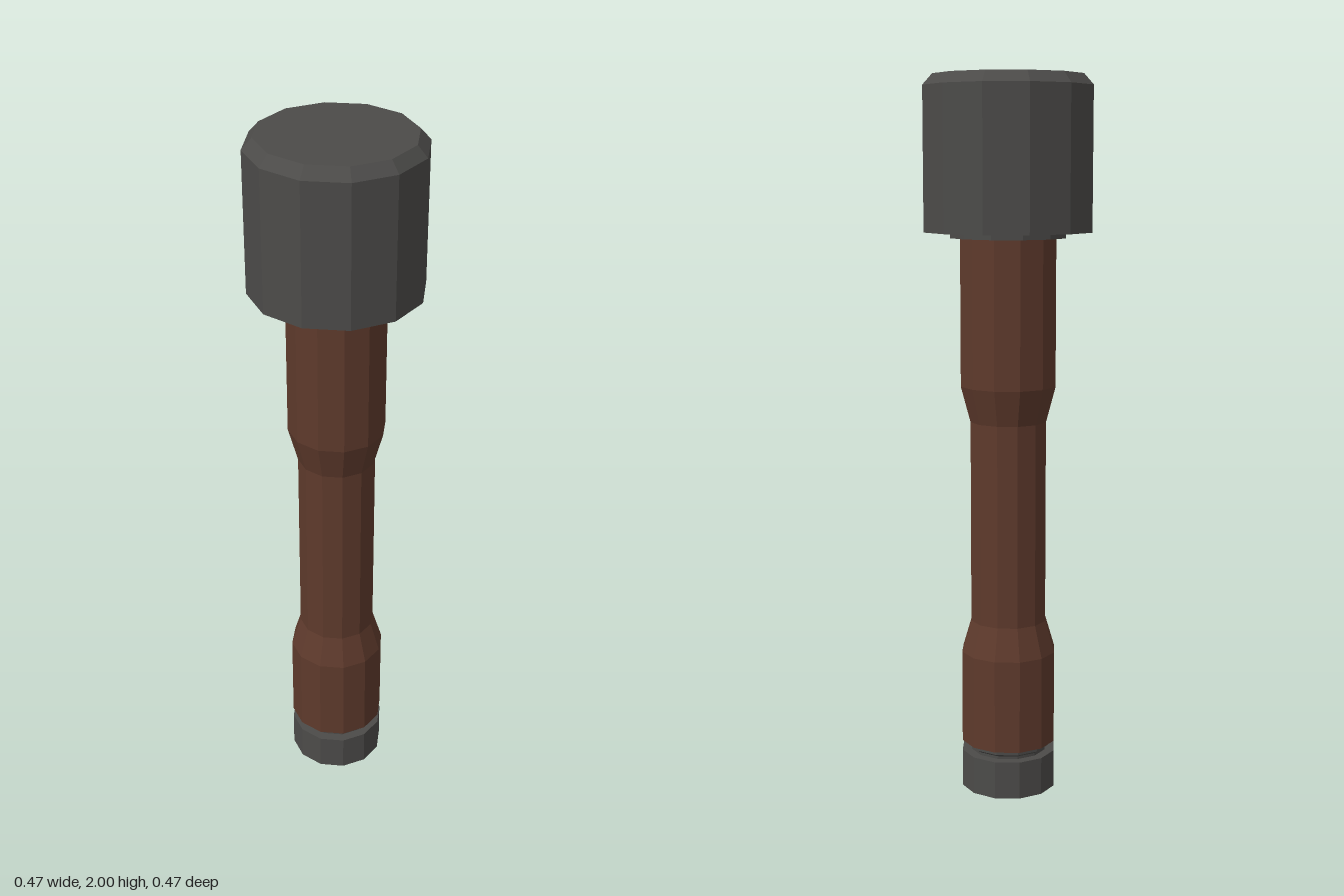
import * as THREE from 'three';

const SIDES = 12;

// Faceted turned part from a [radius, y] profile listed bottom to top
function turned(name, profile, material) {
  const points = profile.map(([r, y]) => new THREE.Vector2(r, y));
  const mesh = new THREE.Mesh(new THREE.LatheGeometry(points, SIDES), material);
  mesh.name = name;
  return mesh;
}

export function createModel() {
  const metal = new THREE.MeshStandardMaterial({ color: 0x4c4b49, flatShading: true });
  const wood = new THREE.MeshStandardMaterial({ color: 0x5e3a2c, flatShading: true });
  const group = new THREE.Group();
  group.name = 'model';

  group.add(
    // Screw cap at the foot
    turned('endCap', [[0, 0], [0.135, 0], [0.135, 0.107], [0, 0.107]], metal),
    // Recessed ring between cap and handle
    turned('capNeck', [[0.108, 0.1], [0.108, 0.115], [0.118, 0.122], [0.118, 0.137]], metal),
    // Handle with a slimmer grip
    turned('handle', [
      [0, 0.136], [0.135, 0.136], [0.135, 0.4], [0.108, 0.49],
      [0.108, 1.06], [0.135, 1.16], [0.135, 1.58],
    ], wood),
    // Thin flange under the head
    turned('collar', [[0.13, 1.566], [0.162, 1.566], [0.162, 1.585]], metal),
    // Heavy head with a bevelled top
    turned('head', [[0, 1.582], [0.235, 1.582], [0.235, 1.97], [0.208, 2], [0, 2]], metal),
  );
  return group;
}
